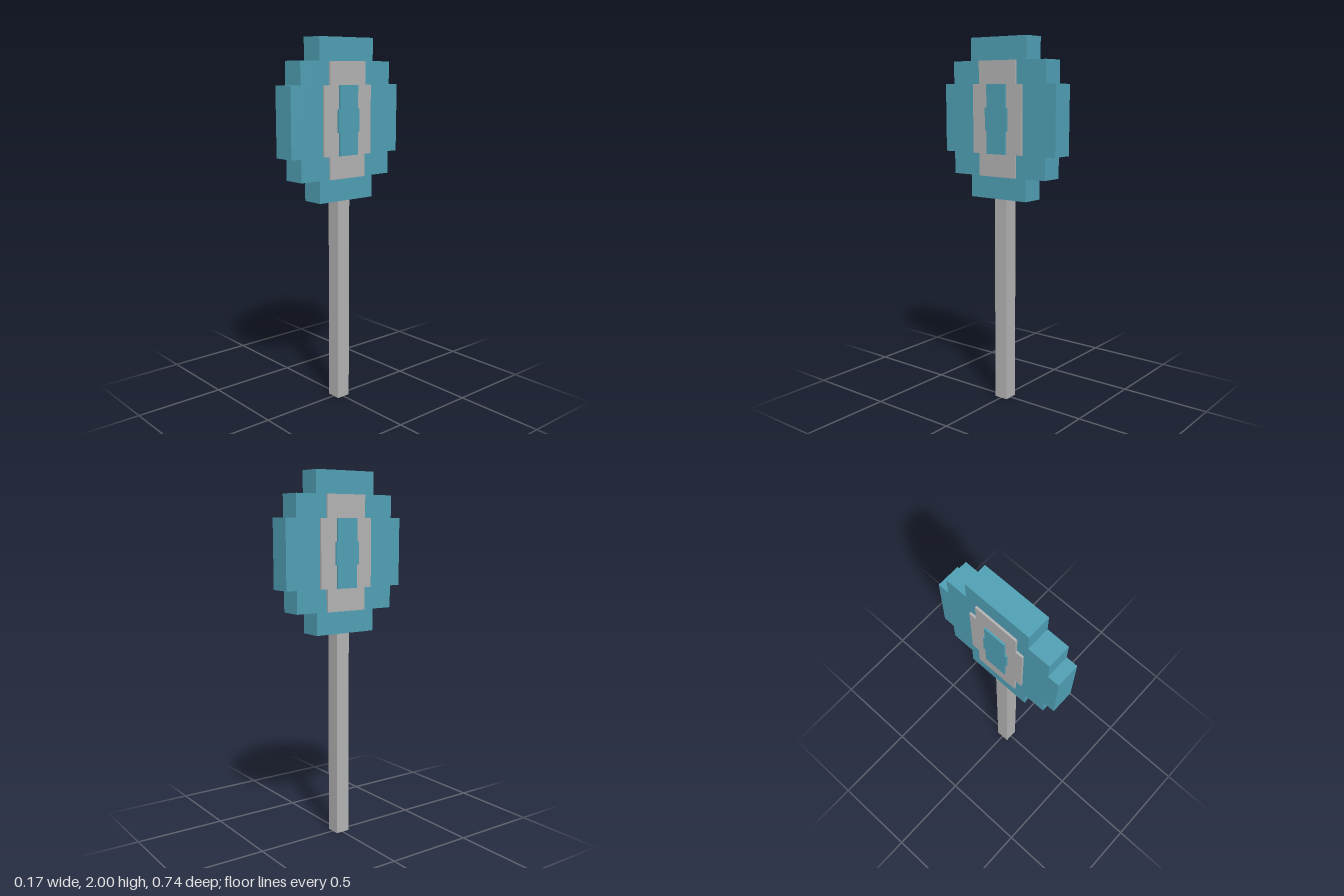
import * as THREE from 'three';

const CENTER_Y = 1.573;

// Stepped, symmetric outline from [halfWidth, halfHeight] pairs, tallest step first,
// extruded along x and centred on the middle of the head.
function steppedSlab(name, steps, halfDepth, material) {
  const corners = [];
  steps.forEach(([w, h], i) => {
    corners.push([w, h]);
    if (i < steps.length - 1) corners.push([w, steps[i + 1][1]]);
  });
  const reversed = [...corners].reverse();
  const outline = [
    ...corners,
    ...reversed.map(([w, h]) => [w, -h]),
    ...corners.map(([w, h]) => [-w, -h]),
    ...reversed.map(([w, h]) => [-w, h]),
  ].map(([w, h]) => new THREE.Vector2(w, h));
  const geometry = new THREE.ExtrudeGeometry(new THREE.Shape(outline), {
    depth: halfDepth * 2,
    bevelEnabled: false,
  });
  geometry.translate(0, 0, -halfDepth);
  geometry.rotateY(Math.PI / 2);
  const mesh = new THREE.Mesh(geometry, material);
  mesh.name = name;
  mesh.position.y = CENTER_Y;
  return mesh;
}

export function createModel() {
  const teal = new THREE.MeshStandardMaterial({ color: 0x4f9fb4 });
  teal.name = 'teal';
  const grey = new THREE.MeshStandardMaterial({ color: 0xb2b2b2 });
  grey.name = 'grey';

  const model = new THREE.Group();
  model.name = 'lollipop';

  // Square stick
  const stick = new THREE.Mesh(new THREE.BoxGeometry(0.08, 1.16, 0.08), grey);
  stick.name = 'stick';
  stick.position.y = 0.58;
  model.add(stick);

  // Candy head, with the ring and centre standing proud on both sides
  model.add(
    steppedSlab('head', [[0.184, 0.427], [0.306, 0.306], [0.368, 0.184]], 0.063, teal),
    steppedSlab('ring', [[0.121, 0.306], [0.162, 0.184]], 0.074, grey),
    steppedSlab('centre', [[0.062, 0.184], [0.073, 0.061]], 0.084, teal),
  );
  return model;
}
